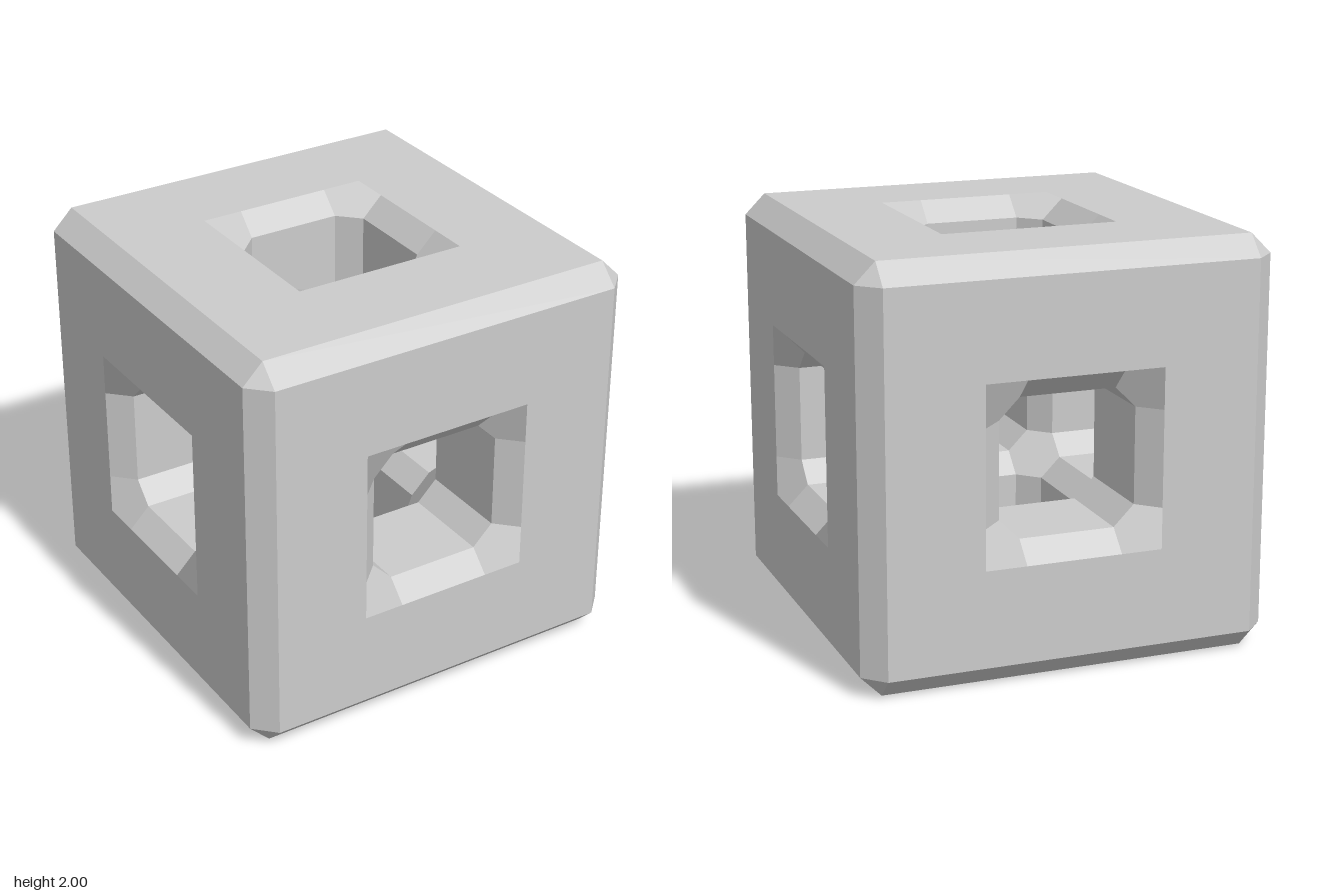
import * as THREE from 'three';
import { mergeGeometries } from 'three/addons/utils/BufferGeometryUtils.js';

const BEVEL = 0.1;
const OUT = 1, OUT_IN = OUT - BEVEL;          // outer faces and their bevelled limit
const B = 1 / 3, A = B - BEVEL, C = B + BEVEL; // tunnel half width, less / plus the bevel

// Flat convex polygon as a fan, facing the hinted direction, with one shared normal
function poly(hint, points) {
  let pts = points.map(p => new THREE.Vector3(...p));
  const n = new THREE.Vector3();
  pts.forEach((p, i) => n.add(new THREE.Vector3().crossVectors(p, pts[(i + 1) % pts.length])));
  n.normalize();
  if (n.dot(new THREE.Vector3(...hint)) < 0) {
    n.negate();
    pts = [pts[0], ...pts.slice(1).reverse()];
  }
  const position = [], normal = [];
  for (let i = 1; i < pts.length - 1; i++) {
    for (const p of [pts[0], pts[i], pts[i + 1]]) {
      position.push(p.x, p.y, p.z);
      normal.push(n.x, n.y, n.z);
    }
  }
  const g = new THREE.BufferGeometry();
  g.setAttribute('position', new THREE.Float32BufferAttribute(position, 3));
  g.setAttribute('normal', new THREE.Float32BufferAttribute(normal, 3));
  return g;
}

// Repeat the polygons in four quarter turns about z
function fourTurns(...polys) {
  const all = [];
  for (let i = 0; i < 4; i++) {
    for (const p of polys) all.push(p.clone().rotateZ(i * Math.PI / 2));
  }
  return mergeGeometries(all);
}

export function createModel() {
  const model = new THREE.Group();
  model.name = 'hollowCube';
  const material = new THREE.MeshStandardMaterial({ color: 0xcccccc });

  const place = (name, geometry, rotations) => {
    for (const [x, y] of rotations) {
      const mesh = new THREE.Mesh(geometry, material);
      mesh.name = name;
      mesh.rotation.set(x * Math.PI / 2, y * Math.PI / 2, 0);
      mesh.position.y = 1;
      model.add(mesh);
    }
  };
  const sixSides = [[0, 0], [0, 1], [0, 2], [0, 3], [1, 0], [-1, 0]];
  const threeAxes = [[0, 0], [0, 1], [1, 0]];
  const bothEnds = [[0, 0], [2, 0]];

  // Flat side with a square opening
  place('sidePanel', fourTurns(
    poly([0, 0, 1], [[C, -C, OUT], [OUT_IN, -OUT_IN, OUT], [OUT_IN, OUT_IN, OUT], [C, C, OUT]])
  ), sixSides);

  // Sloping rim of the opening and its corner patches
  place('openingRim', fourTurns(
    poly([-1, 0, 1], [[B, -A, OUT_IN], [C, -A, OUT], [C, A, OUT], [B, A, OUT_IN]]),
    poly([-1, -1, 1], [[C, C, OUT], [A, C, OUT], [A, B, OUT_IN], [B, A, OUT_IN], [C, A, OUT]])
  ), sixSides);

  // Eight-sided tunnel behind each opening
  place('tunnelWall', fourTurns(
    poly([-1, 0, 0], [[B, -A, C], [B, -A, OUT_IN], [B, A, OUT_IN], [B, A, C]]),
    poly([-1, -1, 0], [[B, A, C], [B, A, OUT_IN], [A, B, OUT_IN], [A, B, C]])
  ), sixSides);

  // Bevels along the outer edges, and along the inner edges where tunnels meet
  place('outerBevel', fourTurns(
    poly([1, 1, 0], [[OUT, OUT_IN, -OUT_IN], [OUT_IN, OUT, -OUT_IN], [OUT_IN, OUT, OUT_IN], [OUT, OUT_IN, OUT_IN]])
  ), threeAxes);
  place('innerBevel', fourTurns(
    poly([-1, -1, 0], [[C, B, -A], [B, C, -A], [B, C, A], [C, B, A]])
  ), threeAxes);

  // Triangular outer corners and hexagonal inner corners
  place('outerCorner', fourTurns(
    poly([1, 1, 1], [[OUT, OUT_IN, OUT_IN], [OUT_IN, OUT, OUT_IN], [OUT_IN, OUT_IN, OUT]])
  ), bothEnds);
  place('innerCorner', fourTurns(
    poly([-1, -1, -1], [[C, B, A], [B, C, A], [A, C, B], [A, B, C], [B, A, C], [C, A, B]])
  ), bothEnds);

  return model;
}
